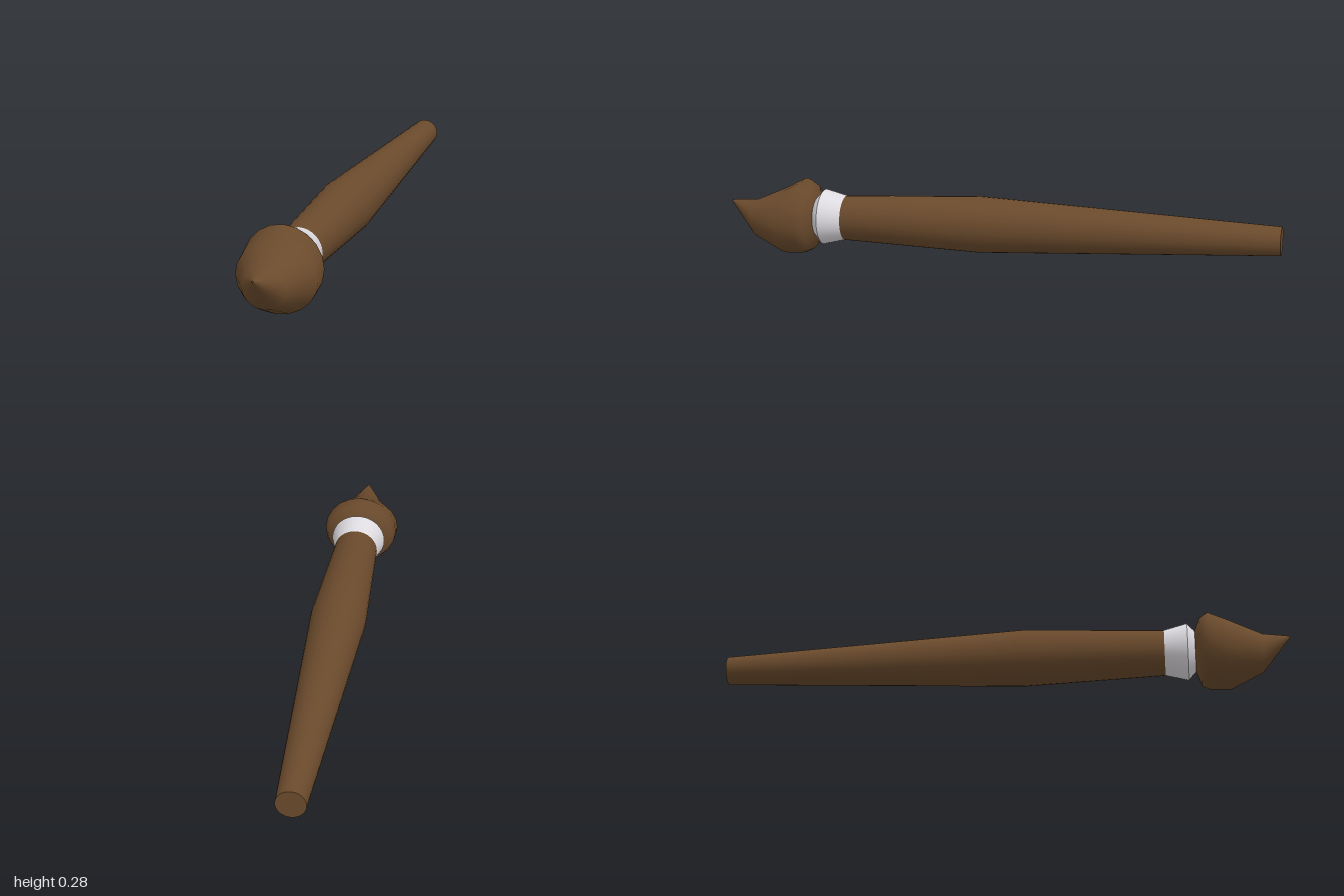
import * as THREE from 'three';

// Lofts elliptical rings along z. Ring: [z, centreX, bottomY, topY, halfWidth]
function loft(rings, sides, capBack = false, capFront = false) {
  const pos = [], idx = [];
  const addRing = ([z, cx, y0, y1, w]) => {
    for (let i = 0; i < sides; i++) {
      const a = (i / sides) * Math.PI * 2;
      pos.push(cx + Math.cos(a) * w, (y0 + y1) / 2 + Math.sin(a) * (y1 - y0) / 2, z);
    }
  };
  rings.forEach(addRing);
  for (let r = 0; r < rings.length - 1; r++) {
    for (let i = 0; i < sides; i++) {
      const j = (i + 1) % sides;
      const a = r * sides + i, b = r * sides + j;
      idx.push(a, b, b + sides, a, b + sides, a + sides);
    }
  }
  // Flat end caps with their own vertices, so the rim stays sharp
  const cap = (ring, front) => {
    const base = pos.length / 3;
    addRing(ring);
    for (let i = 1; i < sides - 1; i++) {
      if (front) idx.push(base, base + i, base + i + 1);
      else idx.push(base, base + i + 1, base + i);
    }
  };
  if (capBack) cap(rings[0], false);
  if (capFront) cap(rings[rings.length - 1], true);
  const g = new THREE.BufferGeometry();
  g.setAttribute('position', new THREE.Float32BufferAttribute(pos, 3));
  g.setIndex(idx);
  g.computeVertexNormals();
  return g;
}

export function createModel() {
  const group = new THREE.Group();
  const brown = new THREE.MeshStandardMaterial({ color: 0x6a4a2c });
  brown.name = 'brown wood';
  const white = new THREE.MeshStandardMaterial({ color: 0xdedbe0 });
  white.name = 'pale metal';

  const add = (name, geometry, material) => {
    const mesh = new THREE.Mesh(geometry, material);
    mesh.name = name;
    group.add(mesh);
  };

  // Handle, swelling in the middle and narrowing to the back end
  add('handle', loft([
    [-1, 0.015, 0.1, 0.2, 0.05],
    [0.06, 0.004, 0.045, 0.245, 0.1],
    [0.56, 0, 0.06, 0.22, 0.08],
  ], 32, true), brown);

  // Flared collar and its bevelled front rim
  add('ferrule', loft([
    [0.56, 0, 0.06, 0.22, 0.08],
    [0.64, 0, 0.04, 0.24, 0.1],
  ], 32, true), white);
  add('ferruleRim', loft([
    [0.64, 0, 0.04, 0.24, 0.1],
    [0.668, 0, 0.07, 0.21, 0.07],
  ], 32), white);

  // Bristle head, bulging behind and sweeping up to a point
  add('bristles', loft([
    [0.665, 0, 0.07, 0.212, 0.07],
    [0.685, 0, 0.018, 0.258, 0.124],
    [0.715, 0, 0.004, 0.277, 0.136],
    [0.785, 0, 0.002, 0.24, 0.137],
    [0.9, 0, 0.056, 0.19, 0.073],
    [0.998, 0, 0.178, 0.184, 0.003],
  ], 20, true, true), brown);

  return group;
}
